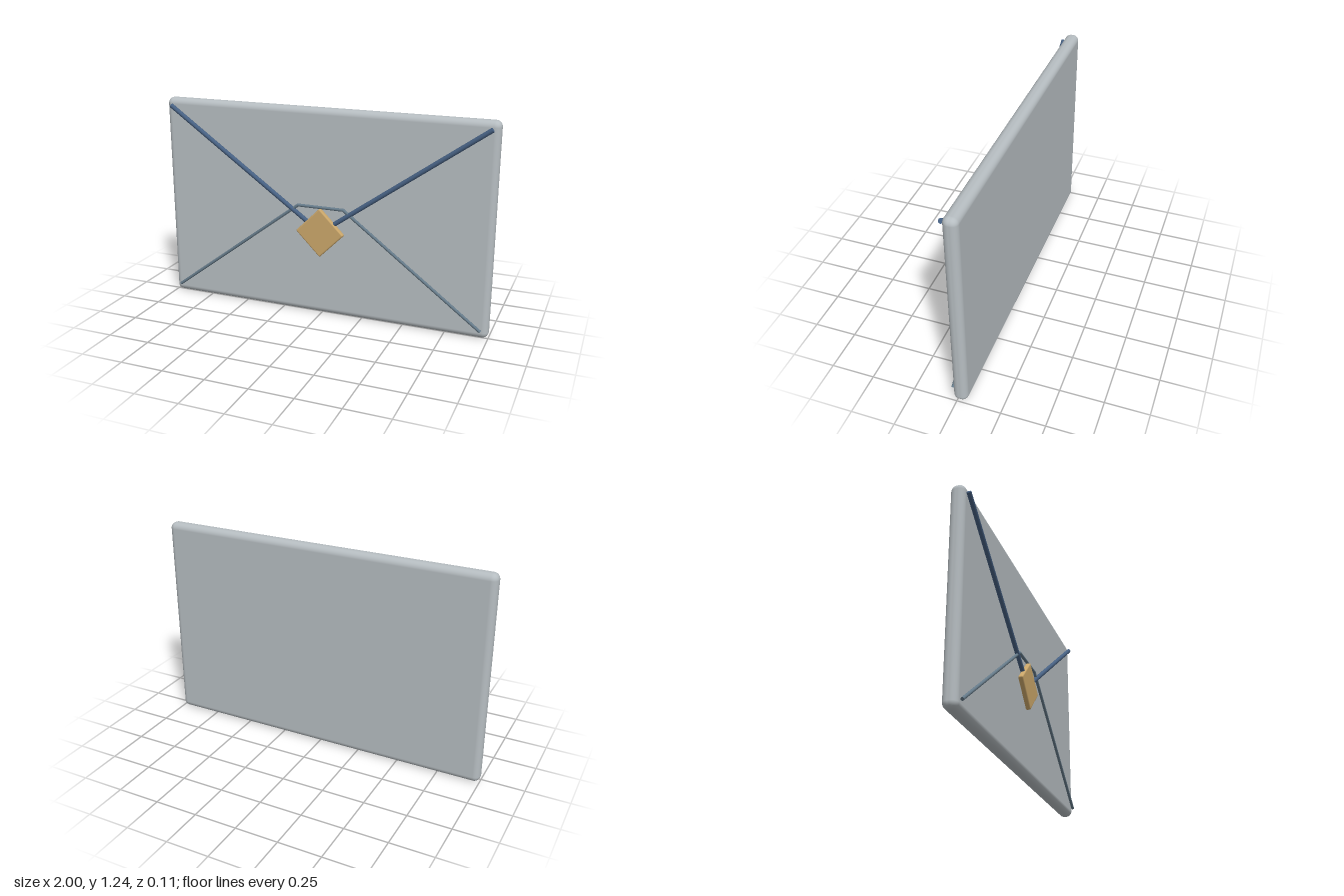
import * as THREE from 'three';
import { RoundedBoxGeometry } from 'three/addons/geometries/RoundedBoxGeometry.js';

function material(name, color) {
  const m = new THREE.MeshStandardMaterial({ color });
  m.name = name;
  return m;
}

export function createModel() {
  const group = new THREE.Group();
  const paper = material('pale grey', 0xb6bdc1);
  const flapBlue = material('slate blue', 0x476183);
  const foldGrey = material('blue grey', 0x667b8a);
  const gold = material('sealing gold', 0xcba76a);
  const CREASE_Z = 0.037;

  function add(name, geometry, mat, x, y, z) {
    const mesh = new THREE.Mesh(geometry, mat);
    mesh.name = name;
    mesh.position.set(x, y, z);
    group.add(mesh);
    return mesh;
  }

  // Straight round rod between two points on the crease plane
  function rod(name, [x1, y1], [x2, y2], radius, mat) {
    const a = new THREE.Vector3(x1, y1, CREASE_Z);
    const b = new THREE.Vector3(x2, y2, CREASE_Z);
    const dir = b.clone().sub(a);
    const mid = a.clone().add(b).multiplyScalar(0.5);
    const mesh = add(name, new THREE.CylinderGeometry(radius, radius, dir.length(), 12), mat, mid.x, mid.y, mid.z);
    mesh.quaternion.setFromUnitVectors(new THREE.Vector3(0, 1, 0), dir.normalize());
  }

  // Envelope slab with rounded rim
  add('envelopeBody', new RoundedBoxGeometry(2, 1.24, 0.082, 4, 0.036), paper, 0, 0.62, -0.016);

  // Mirrored creases: thick upper flap edges, thin lower folds
  for (const [side, s] of [['left', 1], ['right', -1]]) {
    rod(side + 'FlapEdge', [0.962 * s, 1.197], [0, 0.515], 0.0135, flapBlue);
    rod(side + 'LowerFold', [0.96 * s, 0.05], [0.14 * s, 0.667], 0.009, foldGrey);
    add(side + 'FoldJoint', new THREE.SphereGeometry(0.009, 12, 8), foldGrey, 0.14 * s, 0.667, CREASE_Z);
  }
  rod('foldBridge', [-0.14, 0.667], [0.14, 0.667], 0.009, foldGrey);

  // Diamond seal
  const seal = add('seal', new RoundedBoxGeometry(0.21, 0.21, 0.03, 3, 0.009), gold, 0, 0.516, 0.043);
  seal.rotation.z = Math.PI / 4;

  return group;
}
